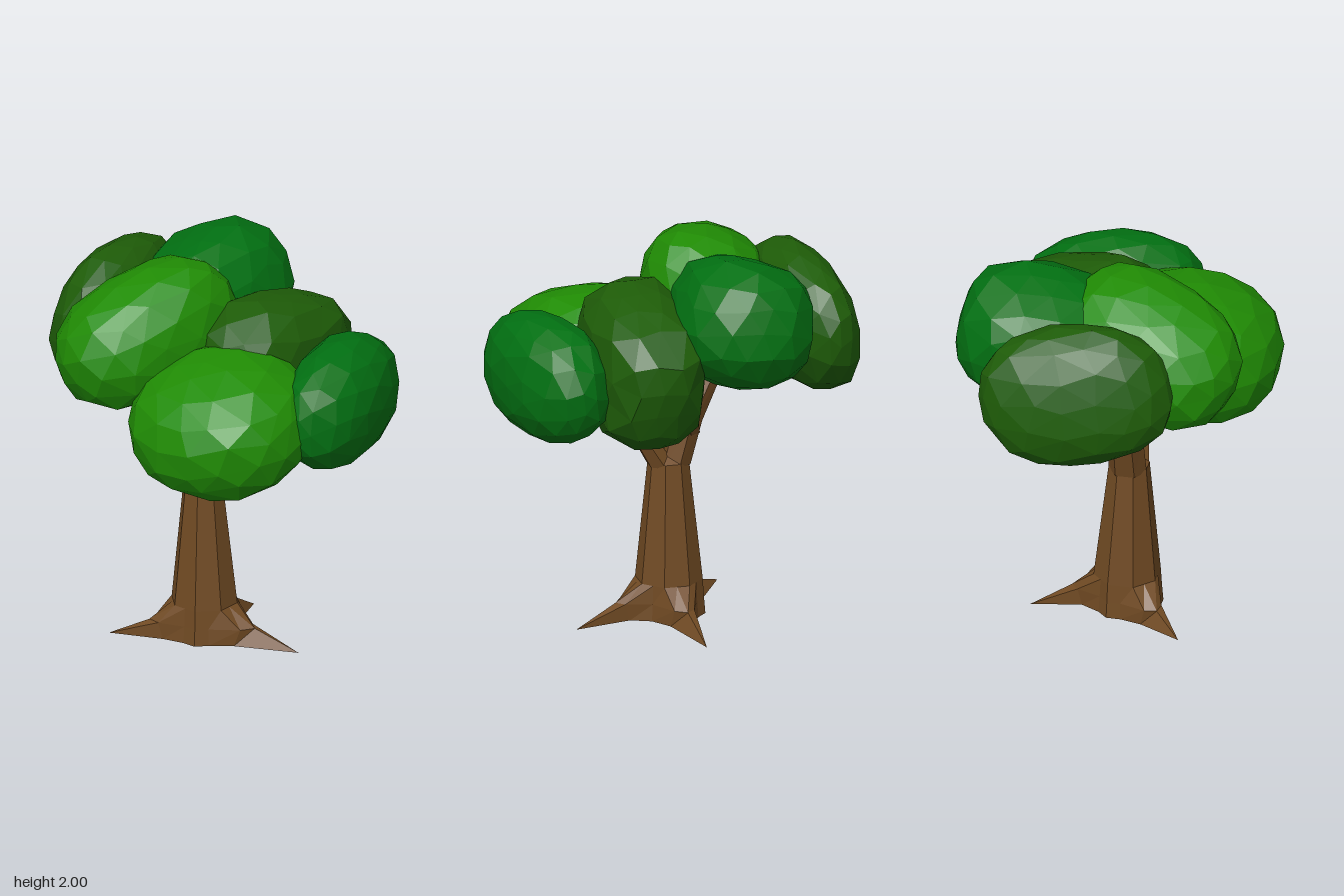
import * as THREE from 'three';

const bark = new THREE.MeshStandardMaterial({ color: 0x704a23, flatShading: true });
const leaf = (color) => new THREE.MeshStandardMaterial({ color, flatShading: true });
const bright = leaf(0x208c04), olive = leaf(0x1e5c08), deep = leaf(0x027012);

// Skin a stack of equal-length rings of [x, y, z] points, listed bottom to top
function loft(name, rings) {
  const n = rings[0].length, index = [];
  for (let i = 0; i < rings.length - 1; i++) {
    for (let j = 0; j < n; j++) {
      const a = i * n + j, b = i * n + (j + 1) % n;
      index.push(a, a + n, b, b, a + n, b + n);
    }
  }
  const geo = new THREE.BufferGeometry();
  geo.setAttribute('position', new THREE.Float32BufferAttribute(rings.flat(2), 3));
  geo.setIndex(index);
  geo.computeVertexNormals();
  const mesh = new THREE.Mesh(geo, bark);
  mesh.name = name;
  return mesh;
}

// Level oval ring of n points around (x, z)
const ring = (n, x, y, z, rx, rz = rx, start = 0) => Array.from({ length: n }, (_, j) => {
  const a = start + j / n * Math.PI * 2;
  return [x + rx * Math.cos(a), y, z + rz * Math.sin(a)];
});

// Tapered limb through [x, y, z, half width, half depth] stations
const limb = (name, stations) =>
  loft(name, stations.map(([x, y, z, rx, rz]) => ring(6, x, y, z, rx, rz, Math.PI / 6)));

// Eight-sided trunk: odd columns are the corners, even columns the face middles
function trunk() {
  const cx = -0.025, cz = 0.05;
  const section = (y, r, z = cz) => ring(16, cx, y, z, r).map((p, j) => {
    const k = j % 2 ? 1 : Math.cos(Math.PI / 8);
    return [cx + (p[0] - cx) * k, y, z + (p[2] - z) * k];
  });
  const pull = (p, tip, t) => [p[0] + (tip[0] - p[0]) * t, p[1], p[2] + (tip[2] - p[2]) * t];
  const foot = section(0.03, 0.18), shin = section(0.115, 0.173);
  // Three pointed roots pulled out of face middles: column, tip
  const roots = [[0, [0.475, 0.02, -0.06]], [6, [-0.36, 0.05, 0.38]], [12, [-0.09, 0, -0.42]]];
  for (const [col, tip] of roots) {
    foot[col] = tip;
    shin[col] = pull(shin[col], tip, 0.36);
    for (const side of [(col + 15) % 16, col + 1]) {
      shin[side] = pull(shin[side], tip, 0.24);
      foot[side] = pull(foot[side], tip, 0.15);
    }
  }
  return loft('trunk', [
    ring(16, cx, 0.035, cz, 0), foot, shin, section(0.21, 0.167),
    section(0.82, 0.102, 0.06), ring(16, cx, 0.88, 0.06, 0.01),
  ]);
}

// Faceted leaf clump: a boxy ellipsoid (power 2 is round), tilted and then fitted to the box from min to max
function clump(name, material, min, max, proportions, tilt, power, seed) {
  const geo = new THREE.IcosahedronGeometry(1, 2);
  geo.rotateX(seed).rotateY(seed * 1.7);
  const p = geo.attributes.position, v = new THREE.Vector3(), wob = new THREE.Vector3();
  for (let i = 0; i < p.count; i++) {
    v.fromBufferAttribute(p, i);
    wob.set(Math.sin(9 * v.y + seed), Math.sin(8 * v.z + seed), Math.sin(9 * v.x - seed));
    v.addScaledVector(wob, 0.06).normalize();
    const sum = Math.abs(v.x) ** power + Math.abs(v.y) ** power + Math.abs(v.z) ** power;
    const bump = 1 + 0.02 * Math.sin(4 * v.x + seed) * Math.cos(5 * v.y + 3 * v.z + 2 * seed);
    v.multiplyScalar(bump * sum ** (-1 / power));
    p.setXYZ(i, v.x, v.y, v.z);
  }
  geo.scale(...proportions);
  geo.rotateX(tilt[0]).rotateY(tilt[1]).rotateZ(tilt[2]);
  geo.computeBoundingBox();
  const box = geo.boundingBox, span = box.getSize(new THREE.Vector3());
  geo.translate(-box.min.x, -box.min.y, -box.min.z);
  geo.scale((max[0] - min[0]) / span.x, (max[1] - min[1]) / span.y, (max[2] - min[2]) / span.z);
  geo.translate(...min);
  geo.computeVertexNormals();
  const mesh = new THREE.Mesh(geo, material);
  mesh.name = name;
  return mesh;
}

export function createModel() {
  const tree = new THREE.Group();
  tree.name = 'tree';
  tree.add(
    trunk(),
    // Forked limbs reaching into the leaves
    limb('rightBranch', [[-0.055, 0.8, 0.06, 0.08, 0.095], [-0.115, 1.02, 0.06, 0.08, 0.09], [-0.24, 1.26, 0.07, 0.065, 0.065], [-0.36, 1.5, 0.08, 0.05, 0.05]]),
    limb('leftBranch', [[0.01, 0.8, 0.06, 0.075, 0.09], [0.14, 1.01, 0.06, 0.055, 0.065], [0.26, 1.2, 0.1, 0.05, 0.05]]),
    limb('backBranch', [[-0.12, 0.96, 0.04, 0.06, 0.06], [-0.08, 1.12, -0.06, 0.055, 0.055], [-0.07, 1.42, -0.26, 0.04, 0.04]]),
    // Crown
    clump('frontRightLeaves', bright, [-0.62, 1.28, -0.25], [0.11, 1.985, 0.69], [0.35, 0.31, 0.5], [0.15, -0.4, 0.3], 2.5, 1),
    clump('frontLeftLeaves', bright, [-0.16, 1.0, -0.13], [0.75, 1.68, 0.74], [0.46, 0.33, 0.44], [0.28, 0, 0], 2.25, 2.3),
    clump('rightLeaves', olive, [-0.91, 1.21, -0.54], [-0.43, 1.92, 0.41], [0.23, 0.36, 0.48], [-0.12, 0.15, -0.25], 2.3, 3.1),
    clump('backRightLeaves', deep, [-0.63, 1.29, -0.74], [0.08, 2.0, 0.08], [0.36, 0.32, 0.42], [0.25, 0, 0.3], 2.6, 4.4),
    clump('backLeftLeaves', olive, [-0.09, 1.06, -0.68], [0.47, 1.82, 0.24], [0.28, 0.36, 0.44], [-0.2, 0, 0], 3, 5.2),
    clump('leftLeaves', deep, [0.4, 1.08, -0.6], [0.91, 1.7, 0.28], [0.23, 0.31, 0.44], [0, 0.25, 0], 2.25, 6.7),
  );
  return tree;
}
